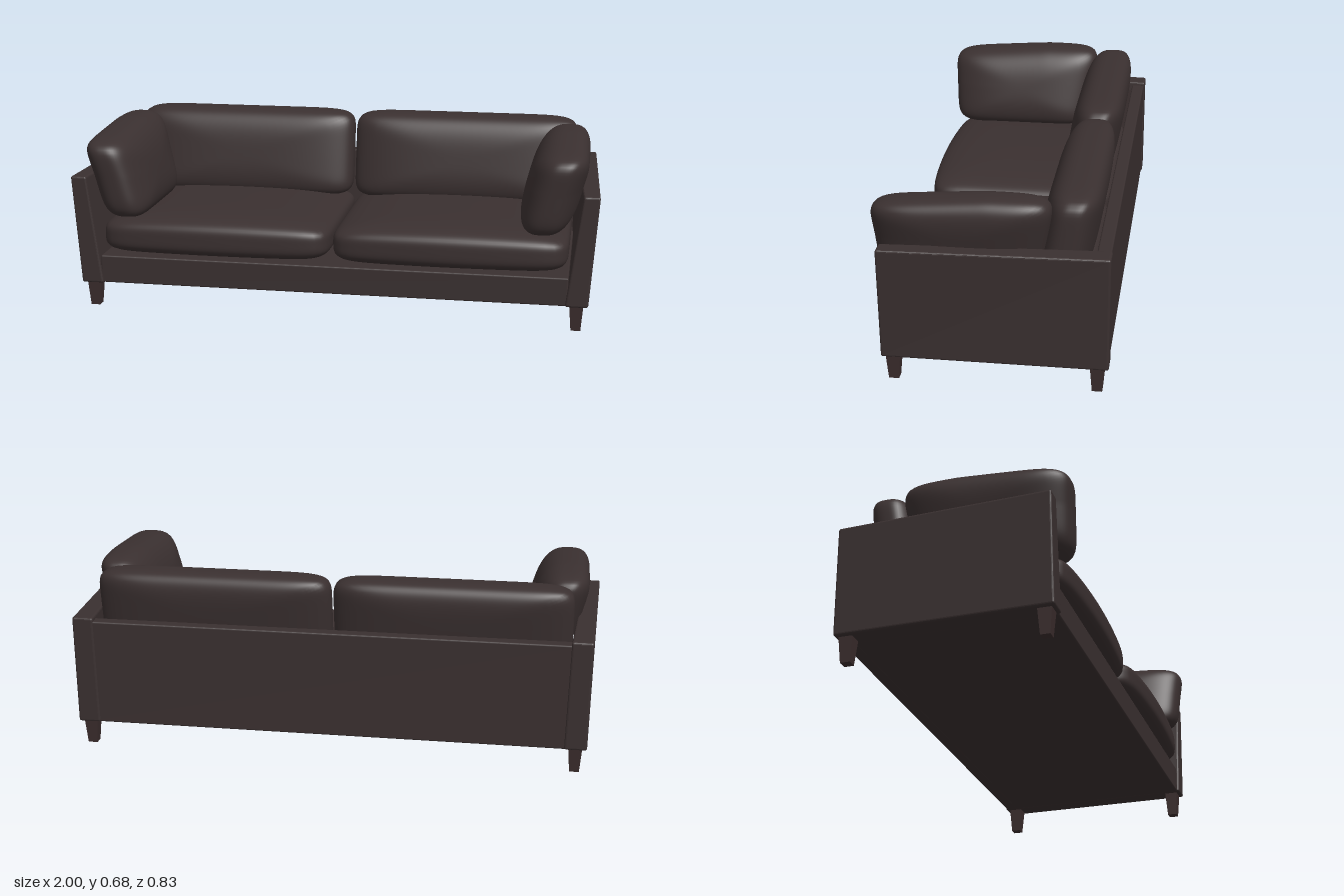
import * as THREE from 'three';
import { mergeVertices } from 'three/addons/utils/BufferGeometryUtils.js';
import { RoundedBoxGeometry } from 'three/addons/geometries/RoundedBoxGeometry.js';

const upholstery = new THREE.MeshStandardMaterial({ color: 0x3a3030 });
upholstery.name = 'dark upholstery';
const wood = new THREE.MeshStandardMaterial({ color: 0x3b2d2d });
wood.name = 'dark wood';

// Moves every vertex of a geometry by a rule.
function warp(geometry, rule) {
  const pos = geometry.attributes.position;
  const p = new THREE.Vector3();
  for (let i = 0; i < pos.count; i++) {
    p.fromBufferAttribute(pos, i);
    rule(p);
    pos.setXYZ(i, p.x, p.y, p.z);
  }
  geometry.computeVertexNormals();
  return geometry;
}

// Stuffed cushion spanning -1..1, thin along one axis; 'corner' squares its
// outline, 'edge' squares its rim. 'shape' places the unit form.
function cushion(thin, corner, edge, shape) {
  const box = new THREE.BoxGeometry(2, 2, 2, 24, 24, 24);
  box.deleteAttribute('normal');
  box.deleteAttribute('uv');
  const [u, v] = ['x', 'y', 'z'].filter((a) => a !== thin);
  return warp(mergeVertices(box), (p) => {
    const q = (Math.abs(p[u]) ** corner + Math.abs(p[v]) ** corner) ** (1 / corner);
    p.divideScalar((Math.abs(p[thin]) ** edge + q ** edge) ** (1 / edge));
    shape(p);
  });
}

export function createModel() {
  const sofa = new THREE.Group();
  sofa.name = 'sofa';
  const add = (name, geometry, material = upholstery) => {
    const mesh = new THREE.Mesh(geometry, material);
    mesh.name = name;
    sofa.add(mesh);
    return mesh;
  };

  // Base and back panel
  add('base', new RoundedBoxGeometry(1.79, 0.108, 0.75, 2, 0.006)).position.set(0, 0.15, -0.005);
  add('backPanel', new RoundedBoxGeometry(1.82, 0.405, 0.05, 2, 0.006)).position.set(0, 0.298, -0.386);

  for (const side of [-1, 1]) {
    const label = side > 0 ? 'left' : 'right';

    // Arm: flares outwards and thins towards its front top
    add(label + 'Arm', warp(new RoundedBoxGeometry(0.08, 0.42, 0.795, 2, 0.008), (p) => {
      const t = p.y / 0.42 + 0.5;
      const f = p.z / 0.795 + 0.5;
      const inner = 0.885 + t * (0.01 + 0.045 * f);
      const outer = 0.97 + t * (0.005 + 0.025 * f);
      p.x = side * (inner + outer) / 2 + p.x / 0.08 * (outer - inner);
      p.y += 0.305;
      p.z -= 0.018;
    }));

    // Seat cushion: flat underneath, front bows out
    add(label + 'SeatCushion', cushion('y', 12, 4, (p) => {
      const bow = 1 - p.x * p.x;
      p.y = 0.285 + p.y * (p.y > 0 ? 0.073 + 0.017 * bow : 0.082);
      p.z = 0.02 + p.z * (p.z > 0 ? 0.36 + 0.025 * bow : 0.36);
      p.x = side * 0.448 + p.x * 0.443;
    }));

    // Back cushion: leans back at the top
    add(label + 'BackCushion', cushion('z', 9, 3.2, (p) => {
      p.z = -0.252 + p.z * 0.102 - p.y * 0.03;
      p.y = 0.512 + p.y * 0.172;
      p.x = side * 0.452 + p.x * 0.447;
    }));

    // Side cushion: leans on the arm, top dips towards the front
    add(label + 'SideCushion', cushion('x', 7, 2.8, (p) => {
      const { x, y, z } = p;
      const dip = y > 0 ? y * 0.03 * Math.max(0, (z + 0.3) / 1.3) : 0;
      p.x = side * (0.83 + y * 0.042) + x * 0.108;
      p.y = 0.518 + y * 0.167 - dip;
      p.z = 0.112 + z * 0.3 + y * (z > 0 ? 0.01 * z : 0.028 * z);
    }));

    // Tapered square legs
    for (const [name, z] of [['FrontLeg', 0.34], ['BackLeg', -0.375]]) {
      const leg = new THREE.CylinderGeometry(0.026 * Math.SQRT2, 0.018 * Math.SQRT2, 0.1, 4, 1);
      leg.rotateY(Math.PI / 4);
      const flat = leg.toNonIndexed();
      flat.computeVertexNormals();
      add(label + name, flat, wood).position.set(side * 0.927, 0.05, z);
    }
  }
  return sofa;
}
